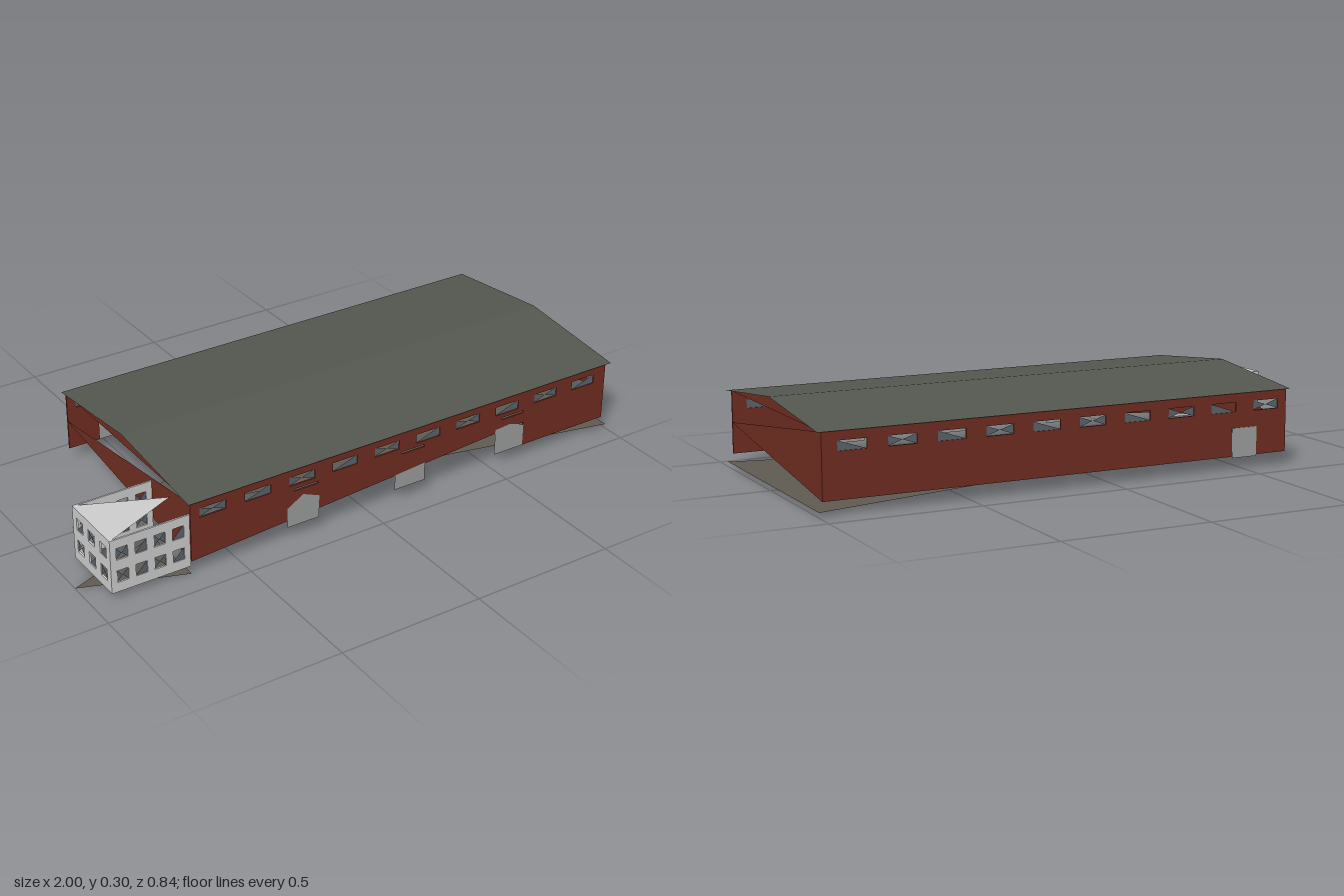
import * as THREE from 'three';

const mat = (color) => new THREE.MeshStandardMaterial({ color, side: THREE.DoubleSide, flatShading: true });
const RED = mat(0x6e2c20), ROOF = mat(0x54564f), SLAB = mat(0x5f5a50), PALE = mat(0xcccccc), GLASS = mat(0x59636a), DOOR = mat(0x9a9c9c);
const WALL_T = 0.006;

const outline = (pts) => new THREE.Shape(pts.map(([x, y]) => new THREE.Vector2(x, y)));
const rect = (x, y, w, h) => [[x - w / 2, y - h / 2], [x + w / 2, y - h / 2], [x + w / 2, y + h / 2], [x - w / 2, y + h / 2]];

function add(parent, name, geometry, material) {
  const mesh = new THREE.Mesh(geometry, material);
  mesh.name = name;
  parent.add(mesh);
  return mesh;
}

// flat polygon from 3D corners
function face(parent, name, corners, material) {
  const g = new THREE.BufferGeometry();
  g.setAttribute('position', new THREE.Float32BufferAttribute(corners.flat(), 3));
  const index = [];
  for (let i = 1; i < corners.length - 1; i++) index.push(0, i, i + 1);
  g.setIndex(index);
  g.computeVertexNormals();
  return add(parent, name, g, material);
}

// thin wall in its own xy plane, with openings half filled by broken panes
function wall(name, pts, windows, openings, material) {
  const group = new THREE.Group();
  group.name = name;
  const shape = outline(pts);
  for (const hole of [...windows, ...openings]) shape.holes.push(new THREE.Path(outline(hole).getPoints()));
  const g = new THREE.ExtrudeGeometry(shape, { depth: WALL_T, bevelEnabled: false });
  g.translate(0, 0, -WALL_T);
  add(group, name + 'Panel', g, material);
  windows.forEach((w, i) => {
    const [a, b, c, d] = w;
    const mid = [(a[0] + b[0]) / 2, (a[1] + d[1]) / 2];
    const panes = i % 2 ? [[a, b, mid], [b, c, mid]] : [[d, a, mid], [mid, b, c]];
    for (const p of panes) {
      const pane = add(group, 'windowPane', new THREE.ShapeGeometry(outline(p)), GLASS);
      pane.position.z = -WALL_T / 2;
    }
  });
  return group;
}

function buildHall() {
  const hall = new THREE.Group();
  hall.name = 'hall';
  const x0 = -0.66, x1 = 0.985, y0 = 0.045, y1 = 0.256, zw = 0.41;
  const xs = Array.from({ length: 10 }, (_, i) => -0.58 + i * 0.163);

  // front wall, its lower edge rising toward the last door
  const doorXs = [-0.25, 0.165, 0.575];
  const frontPts = [[x0, y0], [0.635, 0.134], [0.635, y0], [x1, y0], [x1, y1], [x0, y1]];
  const slots = doorXs.map((x) => rect(x + 0.012, 0.175, 0.09, 0.008));
  const front = wall('frontWall', frontPts, xs.map((x) => rect(x, 0.21, 0.095, 0.032)), slots, RED);
  front.position.z = zw;
  hall.add(front);

  // front doors hanging below the wall edge
  const doorTops = [[0.115, 0.15, 0.125], [0.1, 0.105, 0.11], [0.14, 0.145, 0.125]];
  doorXs.forEach((x, i) => {
    const [a, b, c] = doorTops[i];
    const pts = [[x - 0.06, y0], [x + 0.06, y0], [x + 0.06, c], [x, b], [x - 0.06, a]];
    add(hall, 'frontDoor', new THREE.ShapeGeometry(outline(pts)), DOOR).position.z = zw + 0.001;
  });

  // back wall with one door notch
  const backPts = [[x0, y0], [-0.545, y0], [-0.545, 0.14], [-0.45, 0.14], [-0.45, y0], [x1, y0], [x1, y1], [x0, y1]];
  const back = wall('backWall', backPts, xs.map((x) => rect(x, 0.21, 0.095, 0.032)), [], RED);
  back.position.z = -zw + WALL_T;
  hall.add(back);
  add(hall, 'backDoor', new THREE.ShapeGeometry(outline(rect(-0.4975, 0.09, 0.095, 0.1))), DOOR).position.z = -zw - 0.001;

  // tapering end walls and gables
  for (const [x, s] of [[x1, -1], [x0, 1]]) {
    face(hall, 'endWall', [[x, y0, s * zw], [x, y1, s * zw], [x, 0.15, -s * zw]], RED);
    face(hall, 'gable', [[x, y1, zw], [x, y1, -zw], [x, 0.297, 0]], RED);
  }

  // two roof slopes
  for (const s of [1, -1]) {
    face(hall, 'roofSlope', [[-0.67, 0.257, s * 0.42], [1, 0.257, s * 0.42], [1, 0.3, 0], [-0.67, 0.3, 0]], ROOF);
  }
  face(hall, 'groundSlab', [[1, 0.016, 0.42], [1, 0.016, -0.42], [-0.86, 0.016, 0]], SLAB);
  return hall;
}

function buildAnnex() {
  const annex = new THREE.Group();
  annex.name = 'annex';
  const x0 = -0.935, x1 = -0.66, z0 = 0.165, z1 = 0.405, y0 = 0.025, y1 = 0.213;

  // walls centred on their own width, with two rows of windows
  const side = (name, w, cols) => {
    const wins = [];
    for (const y of [0.08, 0.16])
      for (let i = 0; i < cols; i++) wins.push(rect(((i + 0.5) / cols - 0.5) * w * 0.94, y, 0.04, 0.042));
    return wall(name, [[-w / 2, y0], [w / 2, y0], [w / 2, y1], [-w / 2, y1]], wins, [], PALE);
  };
  const front = side('annexFrontWall', x1 - x0, 4);
  front.position.set((x0 + x1) / 2, 0, z1);
  const back = side('annexBackWall', x1 - x0, 4);
  back.position.set((x0 + x1) / 2, 0, z0);
  back.rotation.y = Math.PI;
  const end = side('annexEndWall', z1 - z0, 3);
  end.position.set(x0, 0, (z0 + z1) / 2);
  end.rotation.y = -Math.PI / 2;
  annex.add(front, back, end);

  // triangular roof and ground slab
  face(annex, 'annexRoof', [[x0, y1, z0], [x0, y1, z1], [x1, y1, 0.285]], PALE);
  face(annex, 'annexSlab', [[-1, 0, 0.285], [x1, 0, 0.41], [x1, 0, 0.16]], SLAB);
  return annex;
}

export function createModel() {
  const model = new THREE.Group();
  model.name = 'hallWithAnnex';
  model.add(buildHall(), buildAnnex());
  return model;
}
